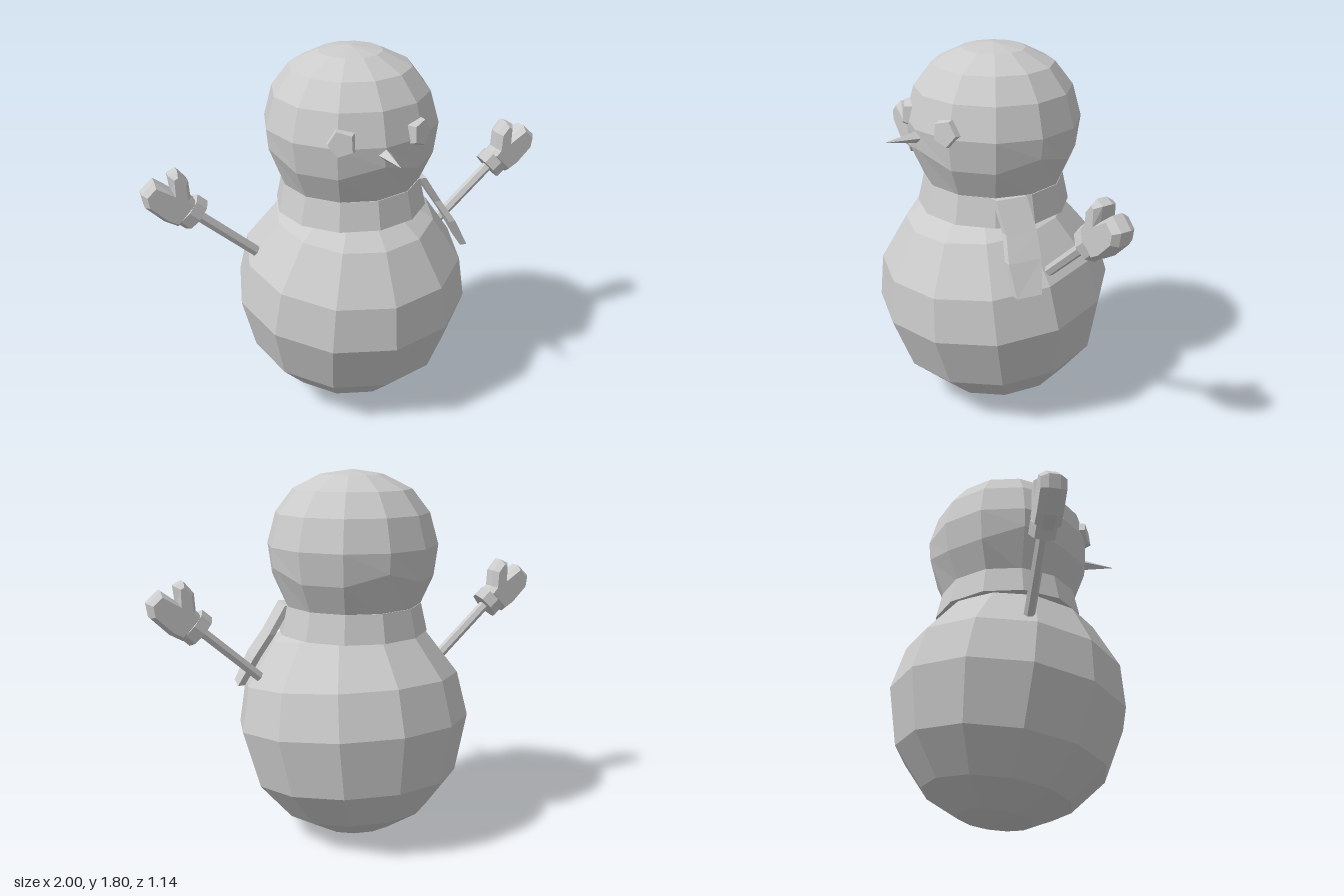
import * as THREE from 'three';

const SIDES = 12;

function makeMesh(name, geometry, parent, doubleSided = false) {
  const material = new THREE.MeshStandardMaterial({ color: 0xcccccc, flatShading: true });
  if (doubleSided) material.side = THREE.DoubleSide;
  const mesh = new THREE.Mesh(geometry, material);
  mesh.name = name;
  parent.add(mesh);
  return mesh;
}

const lathe = (points) =>
  new THREE.LatheGeometry(points.map(([r, y]) => new THREE.Vector2(r, y)), SIDES);

// Stick arm on the +x side, with a cuffed mitten
function makeArm(name) {
  const arm = new THREE.Group();
  arm.name = name;
  const start = new THREE.Vector3(0.46, 0.82, 0);
  const end = new THREE.Vector3(0.8, 1.125, 0);
  const dir = end.clone().sub(start);
  const tilt = -Math.atan2(dir.x, dir.y);

  const stick = makeMesh('stick', new THREE.CylinderGeometry(0.026, 0.026, dir.length(), 6), arm);
  stick.position.copy(start).lerp(end, 0.5);
  stick.rotation.z = tilt;

  const cuff = makeMesh('cuff', new THREE.CylinderGeometry(0.082, 0.082, 0.06, 8), arm);
  cuff.position.set(0.78, 1.105, 0);
  cuff.rotation.z = tilt;
  cuff.scale.z = 0.78;

  // Mitten outline: palm, fingers, notch, thumb
  const outline = [
    [0.85, 1.055], [0.91, 1.09], [0.99, 1.17], [1.0, 1.235], [0.94, 1.29],
    [0.868, 1.235], [0.876, 1.305], [0.835, 1.325], [0.79, 1.27], [0.785, 1.19], [0.755, 1.155],
  ];
  const mitten = new THREE.ExtrudeGeometry(
    new THREE.Shape(outline.map(([x, y]) => new THREE.Vector2(x, y))),
    { depth: 0.05, bevelSize: 0.018, bevelOffset: -0.018, bevelThickness: 0.032, bevelSegments: 1 });
  mitten.translate(0, 0, -0.025);
  makeMesh('mitten', mitten, arm);
  return arm;
}

export function createModel() {
  const model = new THREE.Group();
  model.name = 'snowman';

  // Body: faceted ball leaning slightly forward
  const R = 0.573;
  const ball = [-90, -72, -52, -29, 0, 22, 48, 70, 90].map((deg) => {
    const a = THREE.MathUtils.degToRad(deg);
    return [Math.max(0, R * Math.cos(a)), R * Math.sin(a)];
  });
  const body = makeMesh('body', lathe(ball), model);
  body.position.y = R;
  body.rotation.x = 0.12;

  // Head: faceted dome with a zigzag row above the neck
  const headGeo = lathe([
    [0, 1.14], [0.325, 1.15], [0.392, 1.3], [0.412, 1.45], [0.37, 1.6], [0.285, 1.71], [0.15, 1.777], [0, 1.8],
  ]);
  const p = headGeo.attributes.position;
  for (let i = 0; i < p.count; i++) {
    const step = Math.round(Math.atan2(p.getX(i), p.getZ(i)) / (Math.PI / 6));
    if (Math.abs(p.getY(i) - 1.3) < 0.001 && step % 3 === 0) {
      p.setXYZ(i, p.getX(i) * 1.03, 1.355, p.getZ(i) * 1.03);
    }
  }
  makeMesh('head', headGeo, model);

  // Scarf band around the neck
  makeMesh('scarf', lathe([[0.3, 1.03], [0.365, 1.03], [0.335, 1.165], [0.3, 1.165]]), model, true);

  // Scarf tail: slab bent over the shoulder, rows of [x, y, z back, z front]
  const rows = [[0.32, 1.165, 0.03, 0.18], [0.405, 1.03, 0.03, 0.18],
    [0.475, 0.92, 0.05, 0.21], [0.545, 0.78, 0.09, 0.21]];
  const tail = new THREE.BoxGeometry(1, 3, 1, 1, 3, 1);
  const t = tail.attributes.position;
  for (let i = 0; i < t.count; i++) {
    const [x, y, back, front] = rows[Math.round(1.5 - t.getY(i))];
    const isFront = t.getZ(i) > 0;
    t.setXYZ(i, x + t.getX(i) * 0.035 - (isFront ? 0.02 : 0), y, isFront ? front : back);
  }
  makeMesh('scarfTail', tail, model);

  // Eyes: pentagonal buttons facing outward
  for (const side of [-1, 1]) {
    const geo = new THREE.CylinderGeometry(0.06, 0.075, 0.05, 5);
    geo.rotateX(Math.PI / 2);
    const eye = makeMesh(side > 0 ? 'leftEye' : 'rightEye', geo, model);
    eye.position.set(side * 0.182, 1.475, 0.35);
    eye.rotation.set(-0.1, side * 0.5, side * 0.25, 'YXZ');
  }

  // Nose: four-sided spike
  const noseGeo = new THREE.ConeGeometry(0.036, 0.2, 4);
  noseGeo.rotateX(Math.PI / 2);
  makeMesh('nose', noseGeo, model).position.set(0, 1.415, 0.465);

  // Arms
  const rightArm = makeArm('rightArm');
  rightArm.rotation.y = Math.PI;
  model.add(makeArm('leftArm'), rightArm);

  return model;
}
